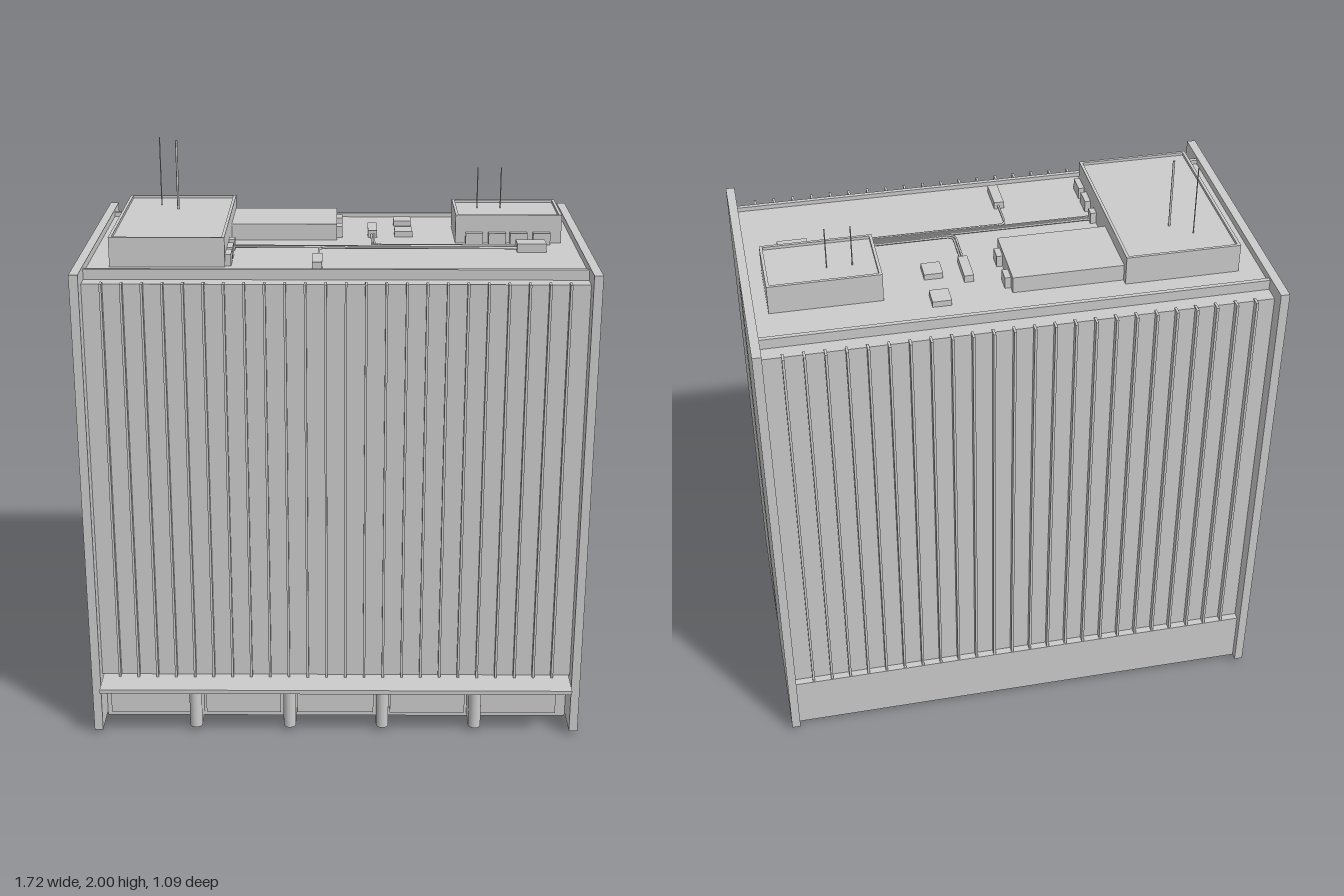
import * as THREE from 'three';

const mat = new THREE.MeshStandardMaterial({ color: 0xcccccc, flatShading: true });
const smooth = new THREE.MeshStandardMaterial({ color: 0xcccccc });

export function createModel() {
  const model = new THREE.Group();
  model.name = 'officeBlock';

  const add = (name, geometry, material = mat) => {
    const mesh = new THREE.Mesh(geometry, material);
    mesh.name = name;
    model.add(mesh);
    return mesh;
  };
  // Box given by its limits on each axis
  const box = (name, x0, x1, y0, y1, z0, z1) => {
    const mesh = add(name, new THREE.BoxGeometry(x1 - x0, y1 - y0, z1 - z0));
    mesh.position.set((x0 + x1) / 2, (y0 + y1) / 2, (z0 + z1) / 2);
    return mesh;
  };
  const ROOF = 1.665;

  // Upper floors: core plus the slightly lower facade layer
  box('core', -0.83, 0.83, 0.215, ROOF, -0.44, 0.375);
  box('frontFacade', -0.83, 0.83, 0.21, 1.645, 0.375, 0.43);
  box('backFacade', -0.83, 0.83, 0.2, 1.645, -0.495, -0.44);
  box('frontParapet', -0.83, 0.83, ROOF, 1.68, 0.36, 0.375);
  box('backParapet', -0.83, 0.83, ROOF, 1.68, -0.44, -0.425);

  // Vertical fins, running under the ceiling as ribs
  for (let i = 0; i < 24; i++) {
    const x = -0.765 + i * 0.0665;
    box('frontFin', x - 0.004, x + 0.004, 0.2, 1.65, 0.42, 0.452);
    box('backFin', x - 0.004, x + 0.004, 0.2, 1.65, -0.518, -0.485);
    box('ceilingRib', x - 0.004, x + 0.004, 0.195, 0.22, -0.495, 0.35);
  }

  // End walls with a tall slot open at the bottom
  const wall = new THREE.Shape([
    [-0.485, 0.015], [-0.02, 0.015], [-0.02, 1.62], [0.08, 1.62],
    [0.08, 0.015], [0.545, 0.015], [0.545, 1.69], [-0.485, 1.69],
  ].map(([a, b]) => new THREE.Vector2(a, b)));
  for (const x of [-0.86, 0.83]) {
    const geometry = new THREE.ExtrudeGeometry(wall, { depth: 0.03, bevelEnabled: false });
    geometry.rotateY(Math.PI / 2);
    add('endWall', geometry).position.x = x;
  }

  // Ground floor
  box('backPlinth', -0.83, 0.83, 0.015, 0.21, -0.52, -0.495);
  box('groundFloorFront', -0.83, 0.83, 0, 0.2, 0.34, 0.355);
  box('canopy', -0.825, 0.825, 0.195, 0.21, 0.35, 0.545);
  for (const [x0, x1] of [[-0.815, -0.53], [-0.47, -0.2], [-0.14, 0.135], [0.195, 0.465], [0.525, 0.795]]) {
    box('shopWindow', x0, x1, 0.015, x0 < -0.8 ? 0.175 : 0.16, 0.355, 0.36);
  }
  // Piers with rounded fronts
  for (const x of [-0.5, -0.165, 0.165, 0.495]) {
    box('pier', x - 0.022, x + 0.022, 0.015, 0.196, 0.355, 0.445);
    const nose = new THREE.CylinderGeometry(0.022, 0.022, 0.181, 16, 1, false, -Math.PI / 2, Math.PI);
    add('pierNose', nose, smooth).position.set(x, 0.1055, 0.445);
  }

  // Rooftop housings with a raised rim
  const housing = (name, x0, x1, top, z0, z1) => {
    const t = 0.01;
    box(name, x0, x1, ROOF, top - t, z0, z1);
    for (const [a, b] of [[x0, x0 + t], [x1 - t, x1]]) box(name + 'Rim', a, b, top - t, top, z0, z1);
    for (const [a, b] of [[z0, z0 + t], [z1 - t, z1]]) box(name + 'Rim', x0 + t, x1 - t, top - t, top, a, b);
  };
  housing('largePlantRoom', -0.755, -0.37, 1.765, -0.345, 0.29);
  housing('smallPlantRoom', 0.415, 0.785, 1.765, -0.28, -0.035);
  box('lowPlantRoom', -0.37, 0, ROOF, 1.722, -0.32, -0.075);

  // Small rooftop units
  for (const [z0, z1] of [[0.04, 0.075], [0.12, 0.185], [0.21, 0.28]]) {
    box('ventUnit', -0.37, -0.35, ROOF, 1.705, z0, z1);
  }
  for (const z of [-0.29, -0.16]) box('ventUnit', 0, 0.02, ROOF, 1.705, z, z + 0.05);
  for (const x of [0.45, 0.53, 0.605, 0.685]) box('ventUnit', x, x + 0.06, ROOF, 1.705, -0.035, -0.01);
  for (const z of [-0.35, -0.19]) box('roofHatch', 0.205, 0.268, ROOF, 1.685, z, z + 0.07);
  box('pipeBox', 0.11, 0.142, ROOF, 1.69, -0.23, -0.11);
  box('pipeBox', -0.08, -0.046, ROOF, 1.69, 0.2, 0.32);
  box('pipeJunction', 0.62, 0.72, ROOF, 1.695, 0.03, 0.095);

  // Pipes: straight runs, and bends from a box into the junction
  const pipeY = 1.676;
  const v = (x, z) => new THREE.Vector3(x, pipeY, z);
  const pipe = (path, segments) => add('pipe', new THREE.TubeGeometry(path, segments, 0.004, 6), smooth);
  for (const z of [0.052, 0.06, 0.068]) pipe(new THREE.LineCurve3(v(-0.355, z), v(0.625, z)), 1);
  const bentPipe = (x, zStart, zRun) => {
    const s = Math.sign(zStart - zRun) * 0.025;
    pipe(new THREE.LineCurve3(v(x, zStart), v(x, zRun + s)), 1);
    pipe(new THREE.QuadraticBezierCurve3(v(x, zRun + s), v(x, zRun), v(x + 0.025, zRun)), 8);
    pipe(new THREE.LineCurve3(v(x + 0.025, zRun), v(0.625, zRun)), 1);
  };
  bentPipe(0.123, -0.115, 0.044);
  bentPipe(0.131, -0.115, 0.036);
  bentPipe(-0.06, 0.205, 0.078);

  // Antennas
  for (const [x, z, base, top, r] of [
    [-0.63, -0.225, 1.75, 2, 0.002], [-0.565, -0.165, 1.75, 2, 0.004],
    [0.5, -0.19, 1.75, 1.9, 0.002], [0.583, -0.19, 1.75, 1.9, 0.002],
  ]) {
    add('antenna', new THREE.CylinderGeometry(r, r, top - base, 8), smooth).position.set(x, (base + top) / 2, z);
  }
  return model;
}
